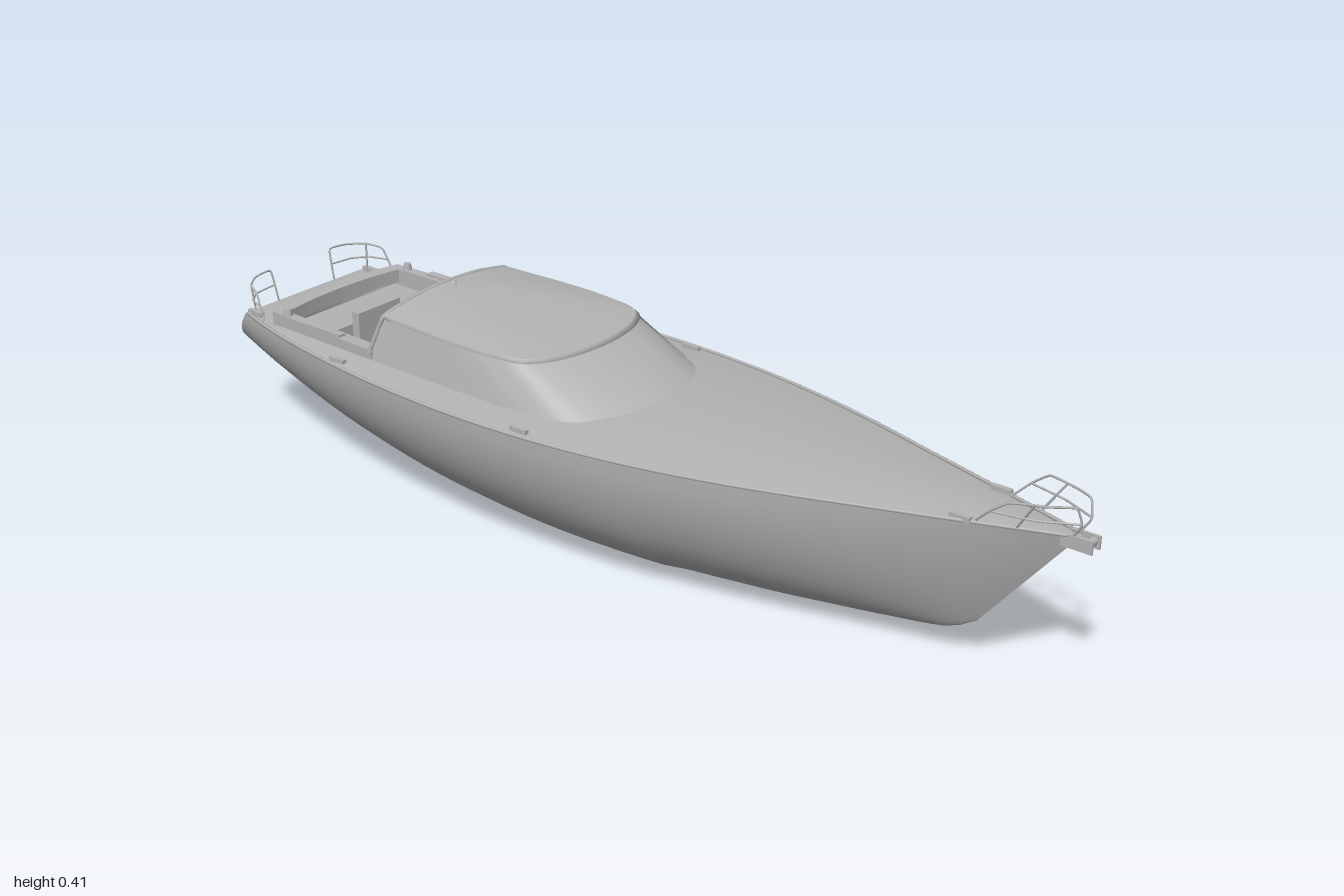
import * as THREE from 'three';

const grey = new THREE.MeshStandardMaterial({ color: 0xb4b4b4, side: THREE.DoubleSide });
grey.name = 'hull grey';

// Smooth interpolation through [x, value] pairs
function table(...pts) {
  const slope = i => {
    const a = pts[Math.max(i - 1, 0)], b = pts[Math.min(i + 1, pts.length - 1)];
    return (b[1] - a[1]) / (b[0] - a[0]);
  };
  return x => {
    let i = 0;
    while (i < pts.length - 2 && x > pts[i + 1][0]) i++;
    const [x0, a] = pts[i], [x1, b] = pts[i + 1], h = x1 - x0;
    const t = THREE.MathUtils.clamp((x - x0) / h, 0, 1), t2 = t * t, t3 = t2 * t;
    return a * (2 * t3 - 3 * t2 + 1) + b * (3 * t2 - 2 * t3)
      + h * (slope(i) * (t3 - 2 * t2 + t) + slope(i + 1) * (t3 - t2));
  };
}

// Surface through rows of [x, y, z] points
function loft(rows, closed = false) {
  const n = rows[0].length, index = [];
  for (let i = 0; i < rows.length - 1; i++)
    for (let j = 0; j < (closed ? n : n - 1); j++) {
      const a = i * n + j, b = i * n + (j + 1) % n;
      index.push(a, b, a + n, b, b + n, a + n);
    }
  const g = new THREE.BufferGeometry();
  g.setAttribute('position', new THREE.Float32BufferAttribute(rows.flat(2), 3));
  g.setIndex(index);
  g.computeVertexNormals();
  return g;
}

const range = (n, a, b) => Array.from({ length: n + 1 }, (_, i) => a + (b - a) * i / n);

// Hull lines, all by position along the deck edge
const beam = table([-.91, .168], [-.8, .203], [-.6, .244], [-.4, .269], [-.2, .279], [0, .271],
  [.2, .243], [.4, .195], [.6, .131], [.8, .065], [.97, .006]);
const sheer = table([-.91, .277], [-.5, .281], [0, .289], [.5, .301], [.97, .316]);
const keel = table([-.91, .157], [-.8, .12], [-.6, .065], [-.4, .027], [-.2, .008], [0, 0],
  [.2, .003], [.4, .013], [.6, .029], [.8, .048], [.9, .062], [.97, .09]);
const keelX = table([-.91, -1], [-.8, -.85], [-.6, -.62], [-.4, -.4], [0, 0], [.4, .38],
  [.6, .55], [.8, .69], [.9, .745], [.97, .79]);
const deckY = (x, z) => {
  const b = beam(x), fade = THREE.MathUtils.clamp((x + .91) / .12, 0, 1);
  return sheer(x) + .08 * b * fade * (1 - Math.min(1, (z / b) ** 2));
};
const section = x => range(28, -Math.PI / 2, Math.PI / 2).map(a => {
  const f = 1 - Math.cos(a) ** 1.08, s = Math.sin(a);
  const power = x > .2 ? 1 + (x - .2) * .3 : .92;
  return [THREE.MathUtils.lerp(keelX(x), x, f), THREE.MathUtils.lerp(keel(x), sheer(x), f),
    Math.sign(s) * Math.abs(s) ** power * beam(x)];
});

// Half plan of the cabin at its foot and at its eaves, from aft to the nose
const foot = [[-.51, .196], [-.25, .204], [-.06, .2], [.02, .18], [.07, .125], [.094, .06], [.1, 0]];
const eaves = [[-.48, .176], [-.3, .184], [-.2, .18], [-.125, .165], [-.09, .12], [-.073, .06], [-.068, 0]];
const planCurve = pts => new THREE.CatmullRomCurve3(
  [...pts, ...pts.slice(0, -1).reverse().map(([x, z]) => [x, -z])].map(([x, z]) => new THREE.Vector3(x, 0, z)));
const footCurve = planCurve(foot), eavesCurve = planCurve(eaves);
function cabinPoint(u, v, out = 0) {
  const a = footCurve.getPoint(u), b = eavesCurve.getPoint(u);
  const low = deckY(a.x, a.z) - .004, t = footCurve.getTangent(u), p = a.clone().lerp(b, v);
  return [p.x - t.z * out, low + (.378 - low) * v + out * .3, p.z + t.x * out];
}

export function createModel() {
  const model = new THREE.Group();
  const add = (name, geometry, x = 0, y = 0, z = 0, parent = model) => {
    const mesh = new THREE.Mesh(geometry, grey);
    mesh.name = name;
    mesh.position.set(x, y, z);
    parent.add(mesh);
    return mesh;
  };
  const box = (name, x0, x1, y0, y1, z0, z1) => add(name,
    new THREE.BoxGeometry(x1 - x0, y1 - y0, z1 - z0), (x0 + x1) / 2, (y0 + y1) / 2, (z0 + z1) / 2);
  const tube = (name, pts, r = .0022, smooth = false) => {
    const v = pts.map(p => new THREE.Vector3(...p));
    const path = new THREE.CatmullRomCurve3(v, false, 'catmullrom', smooth ? .5 : .2);
    return add(name, new THREE.TubeGeometry(path, pts.length * 6, r, 6), 0, 0, 0);
  };

  // Hull shell
  add('hull', loft(range(36, -.91, .97).map(section)));

  // Raked transom with a sunken panel
  const rim = section(-.91), mid = [-.945, .228, 0];
  const inset = (s, push) => rim.map(p => p.map((c, i) => mid[i] + (c - mid[i]) * s + (i ? 0 : push)));
  add('transomRim', loft([rim, inset(.8, 0)], true));
  add('transomRecess', loft([inset(.8, 0), inset(.76, .05)], true));
  add('transomPanel', loft([inset(.76, .05), inset(0, .05)], true));

  // Cambered deck, left open over the cockpit
  const deck = (name, x0, x1, n, inner, side) => add(name, loft(range(n, x0, x1).map(x =>
    range(8, side * beam(x), inner === null ? -beam(x) : side * inner).map(z => [x, deckY(x, z), z]))));
  deck('aftDeck', -.91, -.8, 4, null, 1);
  deck('foredeck', -.44, .97, 30, null, 1);
  for (const s of [1, -1]) {
    deck('sideDeck', -.8, -.44, 8, .165, s);
    tube('toeRail', range(30, -.9, .96).map(x => [x, sheer(x) + .002, s * beam(x) * .99]), .004, true);
  }

  // Cabin sides with windscreen, eaves and crowned roof
  const us = range(60, 0, 1);
  add('cabinSides', loft(range(4, 0, 1).map(v => us.map(u => cabinPoint(u, v)))));
  const eave = (s, y) => us.map(u => {
    const p = eavesCurve.getPoint(u);
    return [-.48 + (p.x + .48) * s, y, p.z * s];
  });
  add('eaves', loft([eave(1, .378), eave(1.025, .379), eave(1, .386)]));
  add('roof', loft(range(6, 1, 0).map(s => eave(s, .386 + .019 * (1 - s * s)))));

  // Window panes laid just outside the cabin wall
  const pane = (name, u0, u1, lean, v0, v1) => add(name, loft(range(4, v0, v1).map(v =>
    range(10, u0, u1).map(u => cabinPoint(u + lean * v, v, .003)))));
  pane('windscreen', .37, .63, 0, .15, .88);
  for (const s of [0, 1]) {
    const m = u => s ? 1 - u : u, k = s ? -1 : 1;
    pane('frontSideWindow', m(.17), m(.29), -.03 * k, .2, .88);
    pane('rearSideWindow', m(.04), m(.14), -.01 * k, .42, .88);
  }

  // Open aft end: hoop, bulkhead and roof fitting
  const hoop = [[-.51, .3, .195], [-.492, .355, .181], [-.48, .384, .174], [-.48, .399, .09], [-.48, .404, 0]];
  tube('aftHoop', [...hoop, ...hoop.slice(0, -1).reverse().map(([x, y, z]) => [x, y, -z])], .005);
  const wall = new THREE.Shape([[-.165, .2], [.165, .2], [.19, .3], [.176, .375], [.09, .394], [0, .4],
    [-.09, .394], [-.176, .375], [-.19, .3]].map(p => new THREE.Vector2(...p)));
  add('cabinBulkhead', new THREE.ShapeGeometry(wall).rotateY(-Math.PI / 2), -.44, 0, 0);
  box('companionwayDoor', -.449, -.441, .22, .37, -.05, .05);
  add('roofFitting', new THREE.SphereGeometry(.008, 10, 6), -.46, .403, 0);

  // Cockpit well
  const ring = y => [[-.8, y, .165], [-.44, y, .165], [-.44, y, -.165], [-.8, y, -.165]];
  add('cockpitWalls', loft([ring(.3), ring(.2)], true));
  box('cockpitSole', -.8, -.44, .195, .2, -.165, .165);

  // Coaming round the cockpit, bowed at its aft end
  const coaming = new THREE.Shape();
  coaming.moveTo(-.5, -.196);
  coaming.lineTo(-.81, -.18);
  coaming.quadraticCurveTo(-.85, 0, -.81, .18);
  coaming.lineTo(-.5, .196);
  const hole = new THREE.Path();
  hole.moveTo(-.501, -.166);
  hole.lineTo(-.501, .166);
  hole.lineTo(-.785, .16);
  hole.quadraticCurveTo(-.815, 0, -.785, -.16);
  coaming.holes.push(hole);
  add('coaming', new THREE.ExtrudeGeometry(coaming, { depth: .03, bevelEnabled: false, curveSegments: 16 })
    .rotateX(Math.PI / 2), 0, .309, 0);

  // Seats and table
  box('aftSeat', -.8, -.7, .2, .272, -.16, .16);
  box('rightBench', -.7, -.45, .2, .262, -.165, -.135);
  box('rightBenchEnd', -.56, -.45, .2, .262, -.135, -.06);
  box('leftBench', -.7, -.45, .2, .262, .125, .165);
  box('cockpitTable', -.69, -.57, .25, .258, -.13, -.07);
  box('tableLeg', -.64, -.62, .2, .25, -.11, -.09);
  box('helmPod', -.7, -.68, .2, .3, -.06, .06);

  for (const s of [1, -1]) {
    // Winches, cleats and coaming pads
    for (const x of [-.88, -.56, -.05, .78])
      box('cleat', x - .02, x + .02, sheer(x), sheer(x) + .011, s * beam(x) * .93 - .005, s * beam(x) * .93 + .005);
    box('coamingPad', -.71, -.6, .305, .314, s * .18 - .009, s * .18 + .009);
    add('winch', new THREE.CylinderGeometry(.008, .01, .014, 12), -.77, .316, s * .172);

    // Bow rails
    tube('bowRail', [[.8, .31, s * .06], [.835, .345, s * .067], [.87, .371, s * .066],
      [.93, .375, s * .046], [.97, .377, s * .024], [.978, .345, s * .016], [.96, .315, s * .012]]);
    tube('bowMidRail', [[.835, .345, s * .067], [.91, .345, s * .05], [.978, .347, s * .017]]);
    tube('bowPost', [[.87, .312, s * .04], [.91, .374, s * .054]]);

    // Stern rails round each quarter
    tube('sternRail', [[-.905, .277, s * .08], [-.92, .344, s * .085], [-.916, .344, s * .13],
      [-.89, .342, s * .165], [-.855, .335, s * .18], [-.83, .283, s * .187]]);
    tube('sternMidRail', [[-.915, .312, s * .083], [-.908, .312, s * .135], [-.885, .312, s * .167], [-.845, .311, s * .183]]);
    tube('sternPost', [[-.885, .278, s * .16], [-.89, .342, s * .165]]);
    box('bowRollerCheek', .94, 1, .296, .321, s * .013 - .002, s * .013 + .002);
  }

  // Bow roller
  box('bowRollerBase', .93, .995, .304, .31, -.013, .013);
  add('bowRoller', new THREE.CylinderGeometry(.008, .008, .024, 12).rotateX(Math.PI / 2), .988, .31, 0);
  return model;
}
